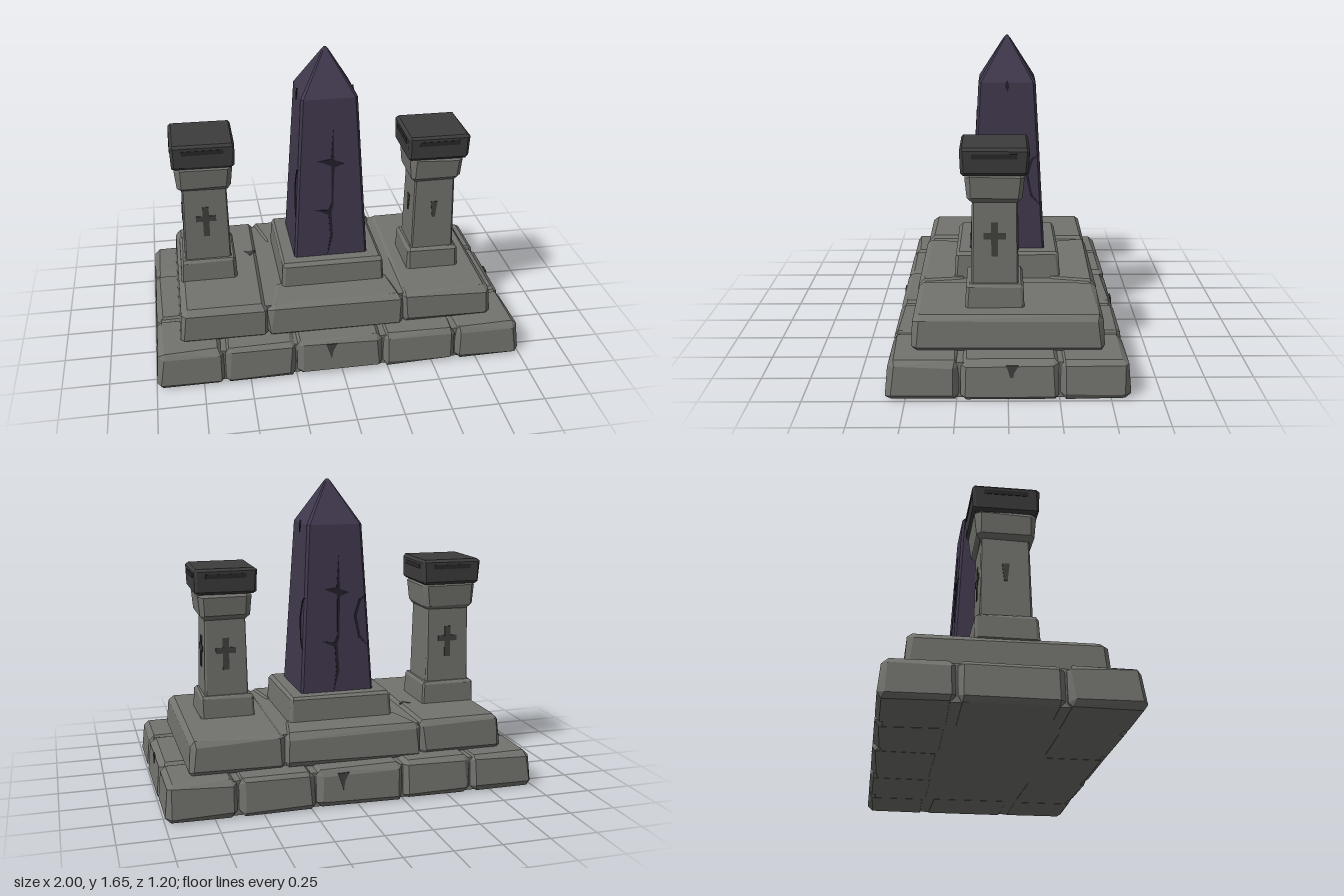
import * as THREE from 'three';
import { ConvexGeometry } from 'three/addons/geometries/ConvexGeometry.js';

const mat = (name, color, side = THREE.FrontSide) => {
  const m = new THREE.MeshStandardMaterial({ color, side });
  m.name = name;
  return m;
};

export function createModel() {
  const model = new THREE.Group();
  model.name = 'shrine';
  const stoneMat = mat('grey stone', 0x72726e);
  const recessMat = mat('stone recess', 0x40403d);
  const capMat = mat('dark cap', 0x3c3c3c);
  const slotMat = mat('cap slot', 0x272727);
  const obeliskMat = mat('purple obelisk', 0x40384d);
  const crackMat = mat('obelisk crack', 0x231e2b);

  let seed = 7;
  const jitter = (a) => {
    seed = (seed * 16807) % 2147483647;
    return (seed / 2147483647 - 0.5) * 2 * a;
  };
  const add = (parent, name, geometry, material) => {
    const mesh = new THREE.Mesh(geometry, material);
    mesh.name = name;
    parent.add(mesh);
    return mesh;
  };

  // Chamfered stone between two four-cornered footprints, each corner cut by a facet
  const quad = (x0, x1, z0, z1) => [[x0, z0], [x1, z0], [x1, z1], [x0, z1]];
  const square = (h) => quad(-h, h, -h, h);
  function stone(parent, name, material, y0, y1, bottom, top, bevel, rough = 0) {
    const at = (u, v, w) => {
      const c = bottom.map((p, i) => [0, 1].map((k) => p[k] + (top[i][k] - p[k]) * w));
      const mix = (k) => (c[0][k] * (1 - u) + c[1][k] * u) * (1 - v) + (c[3][k] * (1 - u) + c[2][k] * u) * v;
      return new THREE.Vector3(mix(0), y0 + (y1 - y0) * w, mix(1));
    };
    const b = [Math.abs(bottom[1][0] - bottom[0][0]), Math.abs(bottom[3][1] - bottom[0][1]), y1 - y0].map((s) => bevel / s);
    const points = [];
    for (const u of [0, 1]) for (const v of [0, 1]) for (const w of [0, 1]) {
      for (let flush = 0; flush < 3; flush++) {
        const t = [u, v, w].map((e, k) => {
          if (k === flush) return e;
          const amount = b[k] * (1 + jitter(rough));
          return e ? 1 - amount : amount;
        });
        points.push(at(...t));
      }
    }
    return add(parent, name, new ConvexGeometry(points), material);
  }

  // Thin flat plate from an outline in its own xy plane
  function plate(parent, name, material, outline, depth = 0.007) {
    const shape = new THREE.Shape(outline.map(([x, y]) => new THREE.Vector2(x, y)));
    const geometry = new THREE.ExtrudeGeometry(shape, { depth, bevelEnabled: false });
    geometry.translate(0, 0, -depth / 2);
    return add(parent, name, geometry, material);
  }
  const box = (parent, name, material, w, h, d, y) =>
    add(parent, name, new THREE.BoxGeometry(w, h, d).translate(0, y + h / 2, 0), material);

  // Bottom step: a ring of separate stones around a core
  const base = new THREE.Group();
  base.name = 'bottomStep';
  model.add(base);
  box(base, 'bottomCore', stoneMat, 1.92, 0.184, 1.12, 0.001);
  const xs = [-1, -0.635, -0.25, 0.225, 0.63, 1];
  const zs = [-0.6, -0.25, 0.235, 0.6];
  for (let i = 0; i < 5; i++) for (let j = 0; j < 3; j++) {
    if (j === 1 && i > 0 && i < 4) continue;
    const [x0, x1, z0, z1] = [xs[i] + (i ? 0.004 : 0), xs[i + 1] - (i < 4 ? 0.004 : 0), zs[j] + (j ? 0.004 : 0), zs[j + 1] - (j < 2 ? 0.004 : 0)];
    const lean = 0.018;
    const top = quad(x0 + (i ? 0 : lean), x1 - (i < 4 ? 0 : lean), z0 + (j ? 0 : lean), z1 - (j < 2 ? 0 : lean));
    stone(base, 'baseStone', stoneMat, 0, 0.2 + jitter(0.004), quad(x0, x1, z0, z1), top, 0.026, 0.35);
  }

  // Second step: two end slabs and flared middle stones
  const step = new THREE.Group();
  step.name = 'upperStep';
  model.add(step);
  box(step, 'upperCore', stoneMat, 1.5, 0.185, 0.88, 0.18);
  for (const s of [-1, 1]) {
    const inner = s < 0 ? -0.385 : 0.355;
    const ends = (o, z) => (s < 0 ? quad(-0.86 + o, inner, -z, z) : quad(inner, 0.86 - o, -z, z));
    stone(step, 'endSlab', stoneMat, 0.19, s < 0 ? 0.382 : 0.374, ends(0, 0.48), ends(0.015, 0.47), 0.026, 0.35);
    const flare = (z) => (s < 0
      ? [[-0.395, -z], [0.365, -z], [0.31, -0.22], [-0.33, -0.22]]
      : [[-0.33, 0.22], [0.31, 0.22], [0.365, z], [-0.395, z]]);
    stone(step, 'middleStone', stoneMat, 0.19, 0.376, flare(0.49), flare(0.475), 0.028, 0.35);
  }

  // Pedestal under the obelisk
  stone(model, 'pedestal', stoneMat, 0.35, 0.508, square(0.288), square(0.278), 0.016, 0.3);

  // Obelisk: tapered shaft with worn edges and a pyramid point
  const rings = [[0.5, 0.204, 0.012], [0.72, 0.191, 0.016], [1.05, 0.173, 0.016], [1.415, 0.152, 0.014], [1.635, 0.018, 0.006], [1.65, 0.006, 0.002]];
  const points = [];
  for (const [y, h, c] of rings) for (const sx of [-1, 1]) for (const sz of [-1, 1]) {
    points.push(new THREE.Vector3(sx * (h - c), y, sz * h), new THREE.Vector3(sx * h, y, sz * (h - c)));
  }
  add(model, 'obelisk', new ConvexGeometry(points), obeliskMat);

  // Cracks on the four leaning faces
  const longCrack = [[0.018, 0.75], [0.022, 0.57], [0.075, 0.55], [0.022, 0.53], [0.014, 0.3], [0.004, 0.27], [0.012, 0.12],
    [-0.02, 0.01], [-0.004, 0.13], [-0.012, 0.255], [-0.09, 0.29], [-0.012, 0.28], [0.004, 0.32], [0.006, 0.54], [-0.065, 0.57], [0.004, 0.58]];
  const chip = [[0, 0.93], [0.012, 0.9], [0.003, 0.865], [-0.012, 0.9]];
  const edgeCrack = [[0.17, 0.53], [0.13, 0.51], [0.1, 0.42], [0.125, 0.3], [0.18, 0.25], [0.135, 0.31], [0.115, 0.42], [0.14, 0.5]];
  for (let k = 0; k < 4; k++) {
    const side = new THREE.Group();
    side.name = 'obeliskFaceCracks';
    side.rotation.y = k * Math.PI / 2;
    model.add(side);
    const face = new THREE.Group();
    face.position.set(0, 0.5, 0.204);
    face.rotation.x = -0.0566;
    side.add(face);
    if (k % 2 === 0) plate(face, 'longCrack', crackMat, longCrack);
    else plate(face, 'chip', crackMat, chip);
    if (k) plate(face, 'edgeCrack', crackMat, edgeCrack);
  }

  // Pillars: foot, shaft, flared capital and dark cap, with cut marks in the shaft
  const cross = [[-0.017, -0.09], [0.017, -0.09], [0.017, 0], [0.055, 0], [0.055, 0.032], [0.017, 0.032], [0.017, 0.085],
    [-0.017, 0.085], [-0.017, 0.032], [-0.055, 0.032], [-0.055, 0], [-0.017, 0]];
  const wedge = [[-0.008, -0.04], [0.008, -0.04], [0.019, 0.055], [-0.019, 0.055]];
  const slot = quad(-0.11, 0.11, -0.012, 0.012);
  function pillar(name, x, z, y, half, marks) {
    const g = new THREE.Group();
    g.name = name;
    g.position.set(x, y, z);
    model.add(g);
    const f = half - 0.12;
    stone(g, 'pillarFoot', stoneMat, 0.36, 0.5, square(0.153 + f), square(0.147 + f), 0.014, 0.4);
    stone(g, 'pillarShaft', stoneMat, 0.48, 0.95, square(half + 0.004), square(half - 0.005), 0.008, 0.4);
    stone(g, 'pillarCapital', stoneMat, 0.915, 1.07, square(0.138 + f), square(0.153 + f), 0.024, 0.3);
    stone(g, 'pillarCap', capMat, 1.06, 1.2, square(0.165), square(0.17), 0.014, 0.3);
    marks.forEach((mark, k) => {
      const side = new THREE.Group();
      side.name = 'pillarFaceMarks';
      side.rotation.y = k * Math.PI / 2;
      g.add(side);
      plate(side, 'capSlot', slotMat, slot).position.set(0, 1.16, 0.168);
      if (!mark) return;
      const cut = plate(side, 'shaftCut', recessMat, mark);
      cut.position.set(0, 0.73, half);
      cut.rotation.x = -0.019;
    });
  }
  // Marks run front, +x, back, -x
  pillar('rightPillar', -0.675, -0.005, 0.004, 0.124, [cross, null, cross, wedge]);
  pillar('leftPillar', 0.585, 0.065, -0.006, 0.116, [wedge, cross, cross, wedge]);

  // Small notches and chips in the steps
  const notch = [[-0.03, 0], [0.03, 0], [0.008, -0.04], [-0.002, -0.09]];
  const scar = [[-0.03, 0.025], [0.035, 0.02], [0, -0.03]];
  const place = (outline, x, y, z, rx, ry) => {
    const m = plate(model, 'stoneChip', recessMat, outline);
    m.position.set(x, y, z);
    m.rotation.set(rx, ry, 0);
  };
  place(notch, -0.06, 0.18, 0.586, -0.09, 0);
  place(notch, 0.08, 0.18, -0.586, 0.09, Math.PI);
  place(notch, 0.986, 0.18, -0.02, 0, Math.PI / 2);
  place(scar, -0.43, 0.38, -0.1, -Math.PI / 2, 0);
  return model;
}
